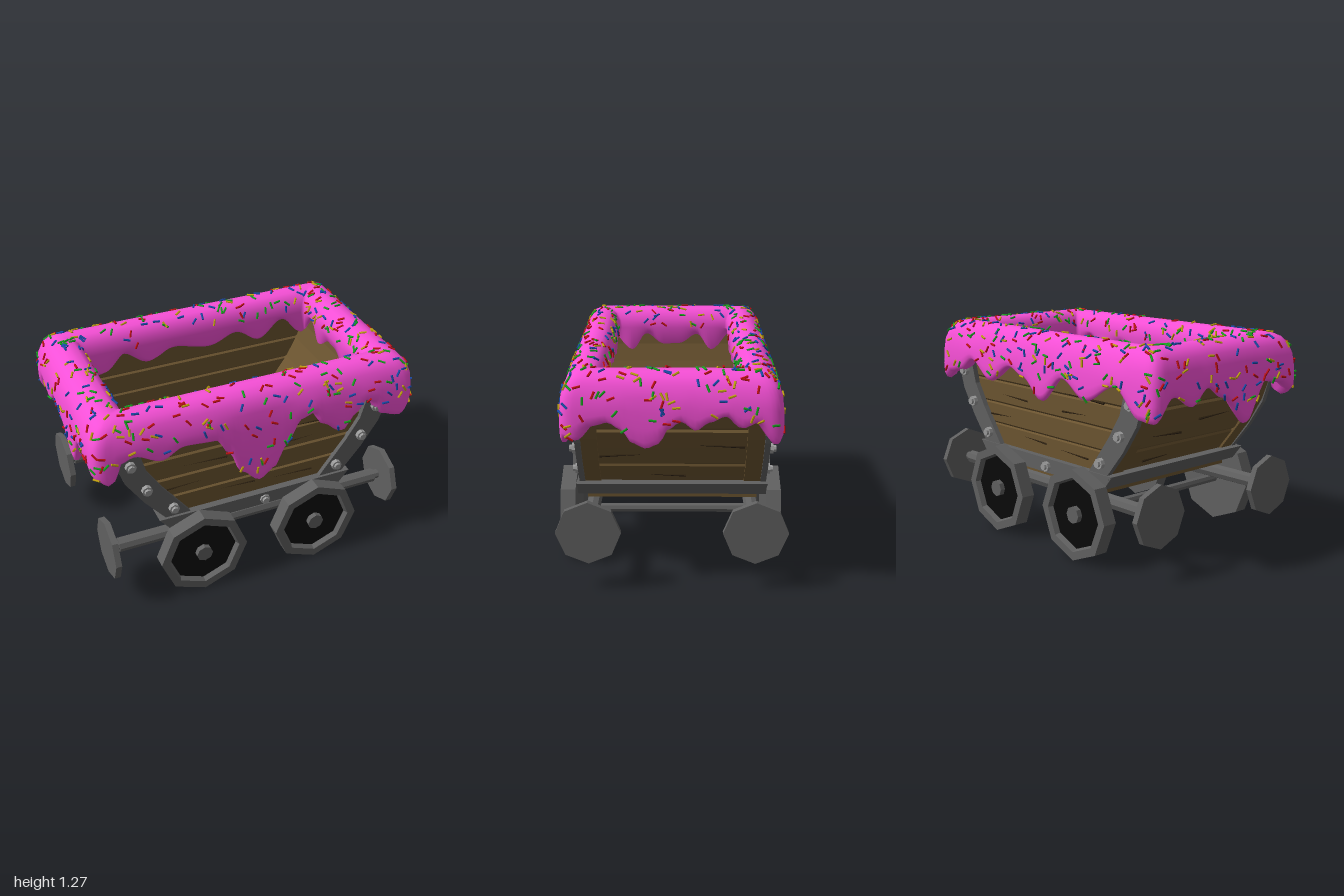
import * as THREE from 'three';
import { mergeGeometries } from 'three/addons/utils/BufferGeometryUtils.js';

const mat = (color, flatShading = true) => new THREE.MeshStandardMaterial({ color, flatShading });
const WOOD = mat(0x6b5430), CRACK = mat(0x2c2010), IRON = mat(0x606060), BOLT = mat(0x9a9a9a), BLACK = mat(0x0a0a0a);
const ICING = mat(0xf850d8, false);
ICING.side = THREE.DoubleSide;

let seed = 7;
const rand = () => (seed = (seed * 16807) % 2147483647) / 2147483647;

function add(parent, name, geo, material, x = 0, y = 0, z = 0) {
  const m = new THREE.Mesh(geo, material);
  m.name = name;
  m.position.set(x, y, z);
  parent.add(m);
  return m;
}

// Interpolates a list of [position, value] pairs, smoothly or in straight lines
function sample(table, t, smooth = true) {
  let i = 0;
  while (i < table.length - 2 && t > table[i + 1][0]) i++;
  const [a, b] = [table[i], table[i + 1]];
  const k = THREE.MathUtils.clamp((t - a[0]) / (b[0] - a[0]), 0, 1);
  return a[1] + (b[1] - a[1]) * (smooth ? k * k * (3 - 2 * k) : k);
}

// Outline in x and y, extruded from z0 to z1
function slab(parent, name, pts, z0, z1, material, bevel = 0) {
  const geo = new THREE.ExtrudeGeometry(new THREE.Shape(pts.map(p => new THREE.Vector2(...p))), {
    depth: z1 - z0 - 2 * bevel, bevelEnabled: bevel > 0, bevelSize: bevel, bevelThickness: bevel, bevelOffset: -bevel, bevelSegments: 1
  });
  return add(parent, name, geo, material, 0, 0, z0 + bevel);
}

const cyl = (r, len, sides, axis) => {
  const g = new THREE.CylinderGeometry(r, r, len, sides);
  return axis === 'z' ? g.rotateX(Math.PI / 2) : g.rotateZ(Math.PI / 2);
};

// Half length of the tub at each height
const TUB = [[0.4, 0.46], [0.52, 0.54], [0.7, 0.69], [0.85, 0.78], [1, 0.84], [1.12, 0.86]];
const half = y => sample(TUB, y, false);

// End board section, curved with the tub and chamfered outside
function wall(y0, y1, t, c) {
  const mid = (y0 + y1) / 2;
  return [[half(y0) - c, y0], [half(y0 + c), y0 + c], [half(mid), mid], [half(y1 - c), y1 - c], [half(y1) - c, y1],
    [half(y1) - t, y1], [half(mid) - t, mid], [half(y0) - t, y0]];
}
const flipX = (pts, s) => pts.map(([x, y]) => [x * s, y]);

function buildTub() {
  const g = new THREE.Group();
  g.name = 'woodenTub';
  // Long side boards
  const rows = [0.46, 0.64, 0.77, 0.91, 1.12];
  for (let i = 0; i < rows.length - 1; i++) {
    const [a, b] = [rows[i], rows[i + 1]], m = (a + b) / 2;
    const pts = [[-half(a), a], [half(a), a], [half(m), m], [half(b), b], [-half(b), b], [-half(m), m]];
    slab(g, 'sideBoard', pts, 0.43, 0.5, WOOD, 0.012);
    slab(g, 'sideBoard', pts, -0.505, -0.43, WOOD, 0.012);
  }
  for (const s of [-1, 1]) {
    // End boards and corner posts
    const ends = [0.46, 0.655, 0.905, 1.12];
    for (let i = 0; i < 3; i++) slab(g, 'endBoard', flipX(wall(ends[i], ends[i + 1], 0.08, 0.014), s), -0.43, 0.43, WOOD);
    for (const z of [-0.51, 0.405]) {
      const post = [0.46, 0.7, 0.85, 1, 1.12];
      const pts = [...post.map(y => [half(y) + 0.012, y]), ...post.reverse().map(y => [half(y) - 0.08, y])];
      slab(g, 'cornerPost', flipX(pts, s), z, z + 0.1, WOOD);
    }
  }
  // Floor boards
  const xs = [-0.5, -0.4, -0.01, 0.38, 0.5];
  for (let i = 0; i < 4; i++)
    slab(g, 'floorBoard', [[xs[i], 0.4], [xs[i + 1], 0.4], [xs[i + 1], 0.5], [xs[i], 0.5]], -0.49, 0.49, WOOD);
  for (const x of xs.slice(1, 4)) slab(g, 'floorSeam', [[x - 0.005, 0.399], [x + 0.005, 0.399], [x + 0.005, 0.501], [x - 0.005, 0.501]], -0.48, 0.48, CRACK);
  // Tapering cracks: position, height, length, direction
  for (const [x, y, len, d] of [[0.28, 0.92, 0.45, 1], [0.3, 0.82, 0.3, -1], [-0.35, 0.83, 0.35, 1], [-0.4, 0.7, 0.3, -1], [0.2, 0.58, 0.35, 1], [-0.15, 0.6, 0.3, 1]])
    for (const s of [-1, 1])
      add(g, 'crack', new THREE.ConeGeometry(0.008, len, 4), CRACK, x * s, y, s > 0 ? 0.498 : -0.503).rotation.z = d * s * 1.53;
  for (const [z, y, len, d] of [[-0.2, 0.8, 0.4, 1], [0.25, 0.73, 0.3, -1], [0.1, 0.57, 0.36, 1]])
    for (const s of [-1, 1])
      add(g, 'crack', new THREE.ConeGeometry(0.008, len, 4), CRACK, s * (half(y) - 0.003), y, z * s).rotation.x = d * 1.53;
  for (const [x, z] of [[-0.28, -0.28], [0.12, -0.3], [0.37, -0.05]])
    add(g, 'crack', new THREE.ConeGeometry(0.012, 0.25, 4).rotateX(Math.PI / 2), CRACK, x, 0.498, z);
  return g;
}

function buildIronwork() {
  const g = new THREE.Group();
  g.name = 'ironwork';
  const strap = [[0.55, 0.5], [0.69, 0.67], [0.795, 0.83], [0.845, 0.98], [0.86, 1.08], [0.71, 1.08], [0.695, 0.98], [0.665, 0.875], [0.58, 0.74], [0.4, 0.5]];
  for (const s of [-1, 1]) {
    // Base frame
    const z = s * 0.505, face = s > 0 ? 0.511 : -0.52;
    slab(g, 'frameSide', [[-0.54, 0.435], [0.54, 0.435], [0.58, 0.5], [-0.58, 0.5]], z - 0.035, z + 0.035, IRON);
    slab(g, 'frameLip', [[-0.58, 0.5], [0.58, 0.5], [0.61, 0.522], [-0.61, 0.522]], z - 0.038, z + 0.038, IRON);
    slab(g, 'frameEnd', flipX([[0.46, 0.435], [0.54, 0.435], [0.61, 0.522], [0.5, 0.522]], s), -0.54, 0.54, IRON);
    // Curved straps with their bolts
    for (const k of [-1, 1]) slab(g, 'strap', flipX(strap, k), face - 0.016, face + 0.016, IRON);
    for (const [x, y] of [[0.76, 0.945], [0.675, 0.76], [0.52, 0.585], [-0.76, 0.945], [-0.675, 0.76], [-0.52, 0.585], [0.05 * s, 0.475]]) {
      add(g, 'boltHead', cyl(0.031, 0.04, 8, 'z'), BOLT, x, y, face + s * 0.021);
      add(g, 'boltTip', cyl(0.02, 0.02, 8, 'z'), BOLT, x, y, face + s * 0.046);
    }
    // Buffer bar along each side
    const bz = s > 0 ? 0.456 : -0.459;
    add(g, 'bufferBar', cyl(0.042, 1.68, 8, 'x'), IRON, 0, 0.35, bz);
    for (const k of [-1, 1]) {
      add(g, 'bufferStem', cyl(0.028, 0.06, 8, 'x'), IRON, k * 0.86, 0.35, bz);
      add(g, 'bufferDisc', cyl(0.18, 0.035, 8, 'x'), IRON, k * 0.893, 0.35, bz);
    }
  }
  return g;
}

function buildWheels() {
  const g = new THREE.Group();
  g.name = 'wheels';
  const rim = new THREE.LatheGeometry([[0, -0.043], [0.268, -0.043], [0.268, 0.043], [0.218, 0.043], [0.205, 0.01]].map(p => new THREE.Vector2(...p)), 8).rotateX(Math.PI / 2);
  const dish = new THREE.CircleGeometry(0.215, 8);
  for (const x of [-0.375, 0.35]) {
    add(g, 'axle', cyl(0.028, 1.12, 8, 'z'), IRON, x, 0.27, 0);
    for (const s of [-1, 1]) {
      const w = new THREE.Group();
      w.name = 'wheel';
      add(w, 'rim', rim, IRON);
      add(w, 'dish', dish, BLACK, 0, 0, 0.012);
      add(w, 'hub', cyl(0.05, 0.05, 8, 'z'), IRON, 0, 0, 0.018);
      w.position.set(x, 0.27, s > 0 ? 0.599 : -0.583);
      if (s < 0) w.rotation.y = Math.PI;
      g.add(w);
    }
  }
  return g;
}

// Height of the dripping lower edge along each side
const FRONT = [[-0.98, 0.92], [-0.9, 0.88], [-0.84, 1.01], [-0.76, 1.035], [-0.6, 0.965], [-0.47, 1.025], [-0.28, 1.01], [-0.2, 0.9], [-0.12, 0.74], [0, 0.65],
  [0.09, 0.715], [0.16, 0.85], [0.25, 1.01], [0.33, 1.035], [0.41, 0.93], [0.53, 0.855], [0.61, 0.955], [0.66, 1.035], [0.73, 1.01], [0.81, 0.9], [0.92, 0.865], [0.98, 0.92]];
const BACK = [[-0.98, 0.87], [-0.87, 0.88], [-0.68, 1.03], [-0.43, 0.92], [-0.24, 1.02], [-0.04, 0.865], [0.12, 0.98], [0.25, 1.03], [0.47, 0.92], [0.64, 1.03], [0.78, 0.95], [0.87, 0.93], [0.98, 0.875]];
const RIGHT = [[-0.58, 0.875], [-0.46, 1], [-0.38, 0.97], [-0.29, 1.035], [-0.2, 1], [-0.13, 0.955], [-0.05, 1.005], [0.02, 0.96], [0.07, 0.88],
  [0.14, 0.855], [0.21, 0.885], [0.27, 0.96], [0.34, 1], [0.43, 0.98], [0.52, 0.9], [0.58, 0.91]];
const LEFT = [[-0.58, 0.87], [-0.45, 1], [-0.3, 0.93], [-0.18, 1.02], [-0.05, 0.95], [0.15, 0.78], [0.3, 1], [0.45, 0.98], [0.58, 0.92]];

function buildIcing() {
  const g = new THREE.Group();
  g.name = 'icing';
  const X = 0.985, Z = 0.59, IX = 0.73, IZ = 0.36, R = 0.07;
  const rings = [];
  const sides = [[FRONT, 80, t => [t, 1]], [RIGHT, 48, t => [1, -t]], [BACK, 80, t => [-t, -1]], [LEFT, 48, t => [-1, t]]];
  for (const [table, n, at] of sides)
    for (let i = 0; i < n; i++) {
      const [u, v] = at(-1 + 2 * i / n);
      // Outer outline with rounded corners
      const cx = THREE.MathUtils.clamp(u * X, R - X, X - R), cz = THREE.MathUtils.clamp(v * Z, R - Z, Z - R);
      const d = Math.hypot(u * X - cx, v * Z - cz);
      const ox = cx + (u * X - cx) * R / d, oz = cz + (v * Z - cz) * R / d;
      const low = sample(table, table === RIGHT || table === LEFT ? v * Z : u * X);
      const inLow = 1.02 + 0.045 * Math.sin(9 * (u * 1.6 + v)) + 0.025 * Math.sin(17 * u - 13 * v);
      const drop = k => 1.12 + (low - 1.12) * k;
      // Section from the inner lip over the top to the outer drips
      const section = [[0.4, inLow + 0.03], [0.2, inLow], [0.06, inLow + 0.03], [0, 1.13], [0.02, 1.18], [0.1, 1.225], [0.24, 1.25], [0.42, 1.257], [0.57, 1.252],
        [0.73, 1.232], [0.86, 1.195], [0.95, 1.135], [0.985, drop(0.25)], [1, drop(0.6)], [0.99, drop(0.85)], [0.95, drop(0.97)], [0.87, drop(1)], [0.76, drop(0.9)], [0.65, drop(0.4)], [0.4, 1.12]];
      rings.push(section.map(([f, y]) => new THREE.Vector3(u * IX + (ox - u * IX) * f, y, v * IZ + (oz - v * IZ) * f)));
    }
  const n = rings.length, m = rings[0].length, index = [];
  for (let i = 0; i < n; i++)
    for (let j = 0; j < m - 1; j++) {
      const a = i * m + j, c = ((i + 1) % n) * m + j;
      index.push(a, a + 1, c + 1, a, c + 1, c);
    }
  const geo = new THREE.BufferGeometry().setFromPoints(rings.flat());
  geo.setIndex(index);
  geo.computeVertexNormals();
  add(g, 'icingCoat', geo, ICING);

  // Sprinkles lying on the coat, one mesh per colour
  const piles = [[], [], [], []], up = new THREE.Vector3(0, 1, 0);
  for (let k = 0; k < 1700; k++) {
    const i = Math.floor(rand() * n), j = 3 + Math.floor(rand() * 12);
    const a = rings[i][j], b = rings[i][j + 1], c = rings[(i + 1) % n][j];
    if (rand() > a.distanceTo(b) / 0.15) continue;
    const along = c.clone().sub(a).normalize(), across = b.clone().sub(a);
    const normal = across.clone().cross(along).normalize();
    const dir = along.applyAxisAngle(normal, rand() * Math.PI);
    const p = a.clone().addScaledVector(across, rand()).addScaledVector(normal, 0.003);
    const s = new THREE.CylinderGeometry(0.0065, 0.0065, 0.042, 6);
    s.applyQuaternion(new THREE.Quaternion().setFromUnitVectors(up, dir));
    piles[k % 4].push(s.translate(p.x, p.y, p.z));
  }
  [0xc01015, 0x18a020, 0x1a4aa8, 0xc0a010].forEach((color, i) => add(g, 'sprinkles', mergeGeometries(piles[i]), mat(color)));
  return g;
}

export function createModel() {
  const model = new THREE.Group();
  model.name = 'icedMineCart';
  model.add(buildTub(), buildIronwork(), buildWheels(), buildIcing());
  return model;
}
